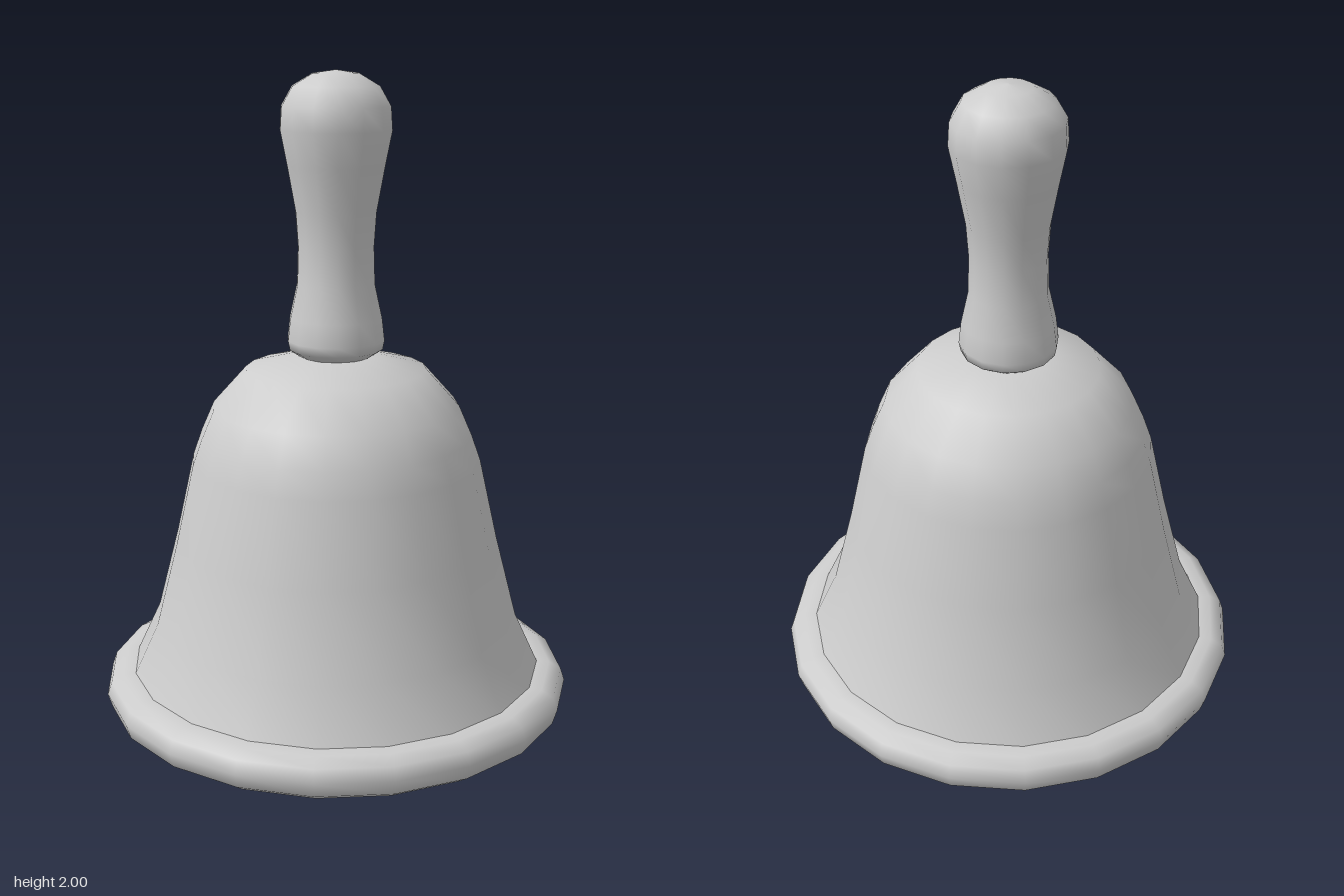
import * as THREE from 'three';

export function createModel() {
  const bell = new THREE.Group();
  bell.name = 'handBell';
  const metal = new THREE.MeshStandardMaterial({ color: 0xcccccc });
  metal.name = 'paleGrey';

  // Every part is a turned profile of [radius, height] pairs
  function turned(name, profile, sides) {
    const points = profile.map(([r, y]) => new THREE.Vector2(r, y));
    const mesh = new THREE.Mesh(new THREE.LatheGeometry(points, sides, Math.PI / 20), metal);
    mesh.name = name;
    bell.add(mesh);
  }

  // Outer wall of the cup
  turned('cupOutside', [
    [0.575, 0.37], [0.505, 0.52], [0.445, 0.75], [0.395, 0.97], [0.37, 1.04],
    [0.335, 1.12], [0.245, 1.22], [0.11, 1.255], [0, 1.26],
  ], 20);

  // Inner wall, running downwards so that it faces inwards
  turned('cupInside', [
    [0, 1.21], [0.1, 1.205], [0.21, 1.17], [0.3, 1.08], [0.355, 0.95],
    [0.405, 0.74], [0.465, 0.51], [0.53, 0.35],
  ], 20);

  // Rounded lip
  turned('rim', [
    [0.53, 0.35], [0.53, 0.285], [0.56, 0.262], [0.605, 0.262], [0.638, 0.285],
    [0.65, 0.325], [0.638, 0.36], [0.605, 0.378], [0.57, 0.38],
  ], 20);

  // Grip with a round knob
  turned('handle', [
    [0, 1.245], [0.09, 1.25], [0.127, 1.275], [0.132, 1.3], [0.125, 1.36],
    [0.105, 1.45], [0.102, 1.55], [0.108, 1.64], [0.13, 1.76], [0.148, 1.85],
    [0.144, 1.91], [0.115, 1.96], [0.06, 1.992], [0, 2],
  ], 14);

  // Clapper ball tapering into its rod
  turned('clapper', [
    [0, 0], [0.06, 0.013], [0.108, 0.05], [0.138, 0.1], [0.146, 0.15],
    [0.135, 0.22], [0.105, 0.29], [0.07, 0.37], [0.05, 0.48], [0.04, 0.7],
    [0.035, 1.215],
  ], 14);

  return bell;
}
